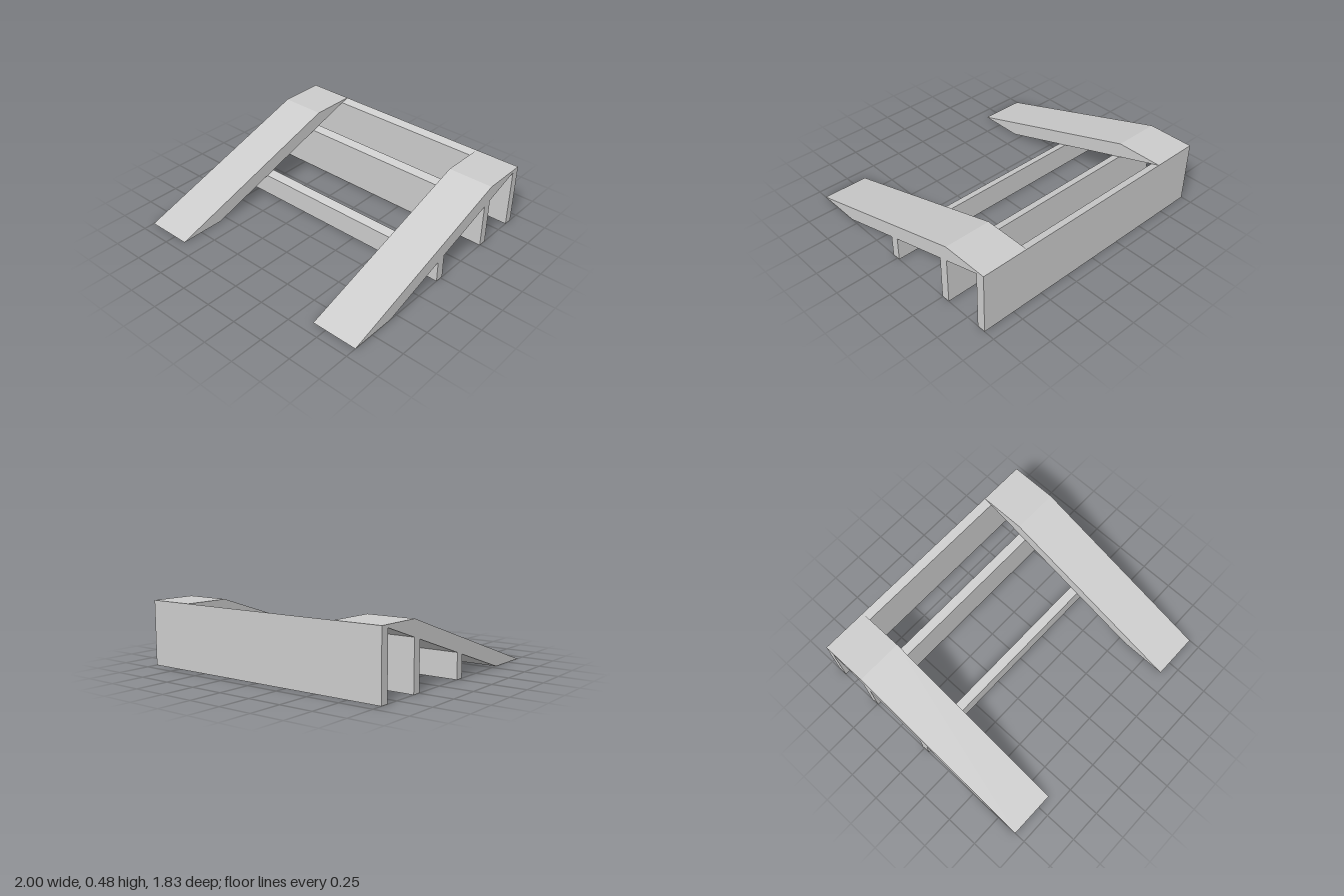
import * as THREE from 'three';

const HEIGHT = 0.48;
const BACK = -0.915; // rear face
const TOE = 0.56; // where the ramp underside meets the ground
const SLOPE = HEIGHT / (TOE - BACK);
const underside = (z) => (TOE - z) * SLOPE;

const material = new THREE.MeshStandardMaterial({ color: 0xcccccc, flatShading: true });

// Extrudes a side profile of [z, y] points across x, from x0 to x1
function sideExtrusion(name, profile, x0, x1) {
  const shape = new THREE.Shape(profile.map(([z, y]) => new THREE.Vector2(-z, y)));
  const geometry = new THREE.ExtrudeGeometry(shape, { depth: x1 - x0, bevelEnabled: false });
  geometry.rotateY(Math.PI / 2).translate(x0, 0, 0);
  const mesh = new THREE.Mesh(geometry, material);
  mesh.name = name;
  return mesh;
}

export function createModel() {
  const group = new THREE.Group();
  group.name = 'wheelRamp';

  // Two sloping tracks with a level landing at the rear
  const track = [[0.915, 0], [TOE, 0], [BACK, HEIGHT], [-0.56, HEIGHT]];
  group.add(sideExtrusion('leftTrack', track, 0.643, 1));
  group.add(sideExtrusion('rightTrack', track, -1, -0.643));

  // Full-width support walls, their tops cut to the slope of the tracks
  const walls = [
    ['frontSupport', 0.047, -0.019],
    ['middleSupport', -0.495, -0.56],
    ['rearSupport', -0.85, BACK],
  ];
  for (const [name, front, back] of walls) {
    const profile = [[front, 0], [back, 0], [back, underside(back)], [front, underside(front)]];
    group.add(sideExtrusion(name, profile, -1, 1));
  }

  return group;
}
